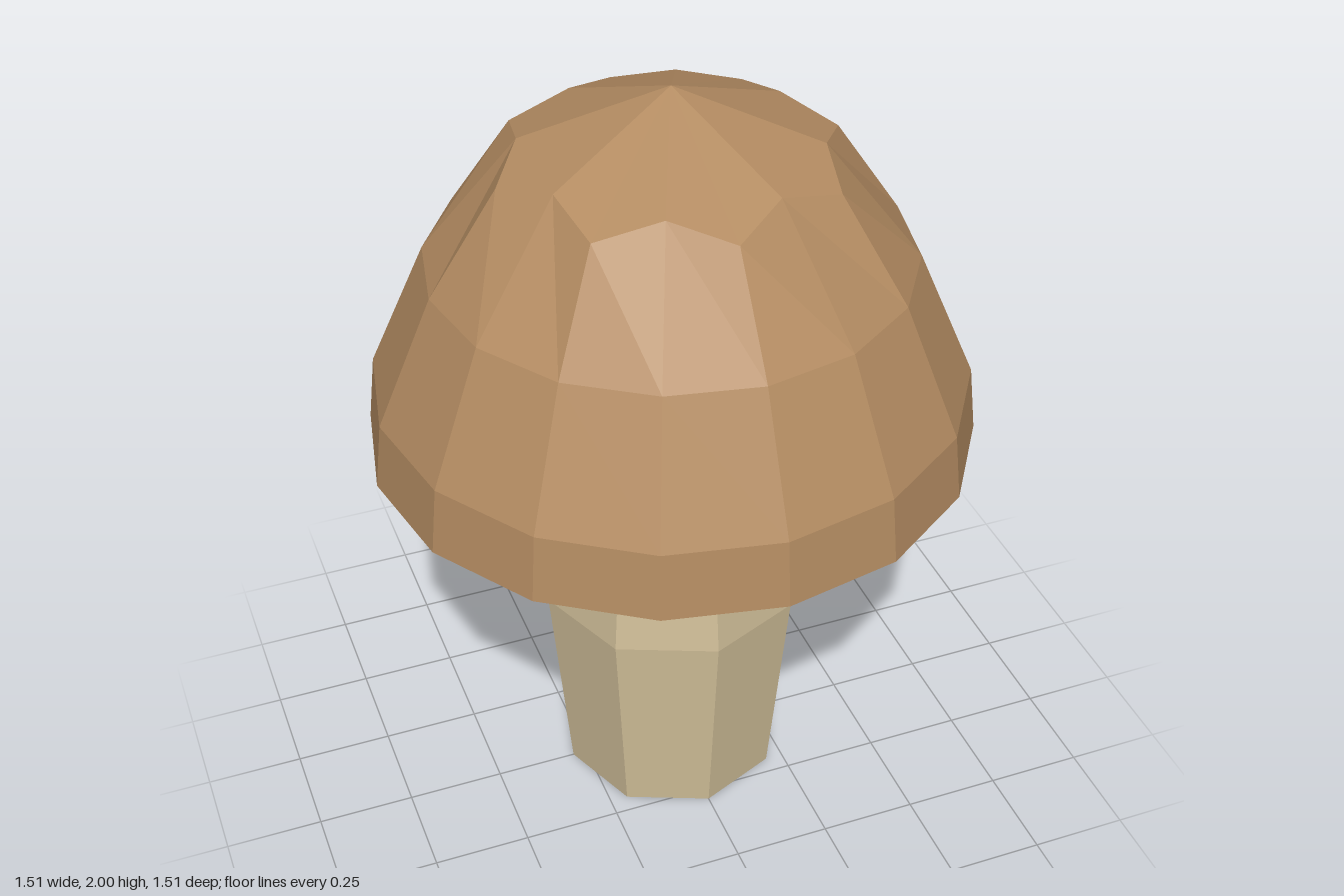
import * as THREE from 'three';

// Faceted lathe from a bottom-to-top profile of [radius, y]; an optional
// third and fourth value give radius and y on every odd spoke.
function facetedLathe(profile, sides) {
  const lathe = new THREE.LatheGeometry(
    profile.map(([r, y]) => new THREE.Vector2(r, y)), sides);
  const pos = lathe.attributes.position;
  for (let s = 0; s <= sides; s++) {
    profile.forEach(([r, y, oddR, oddY], i) => {
      if (oddR === undefined || s % 2 === 0) return;
      const a = (s / sides) * Math.PI * 2;
      pos.setXYZ(s * profile.length + i, oddR * Math.sin(a), oddY, oddR * Math.cos(a));
    });
  }
  const flat = lathe.toNonIndexed();
  flat.computeVertexNormals();
  return flat;
}

export function createModel() {
  const group = new THREE.Group();
  group.name = 'mushroom';

  const capBrown = new THREE.MeshStandardMaterial({ color: 0xb48c62 });
  capBrown.name = 'capBrown';
  const stemCream = new THREE.MeshStandardMaterial({ color: 0xd1bf99 });
  stemCream.name = 'stemCream';

  // Cap: 16-sided dome, closed by eight kite-shaped facets at each pole
  const cap = new THREE.Mesh(facetedLathe([
    [0, 1.0],
    [0.635, 1.02, 0.54, 1.016],
    [0.755, 1.07],
    [0.735, 1.24],
    [0.592, 1.565],
    [0.42, 1.82, 0.355, 1.86],
    [0, 2.0],
  ], 16), capBrown);
  cap.name = 'cap';

  // Stem: octagonal, widest at mid height, running just into the cap
  const stem = new THREE.Mesh(facetedLathe([
    [0, 0],
    [0.288, 0],
    [0.34, 0.58],
    [0.293, 1.03],
    [0, 1.03],
  ], 8), stemCream);
  stem.name = 'stem';

  group.add(cap, stem);
  return group;
}
